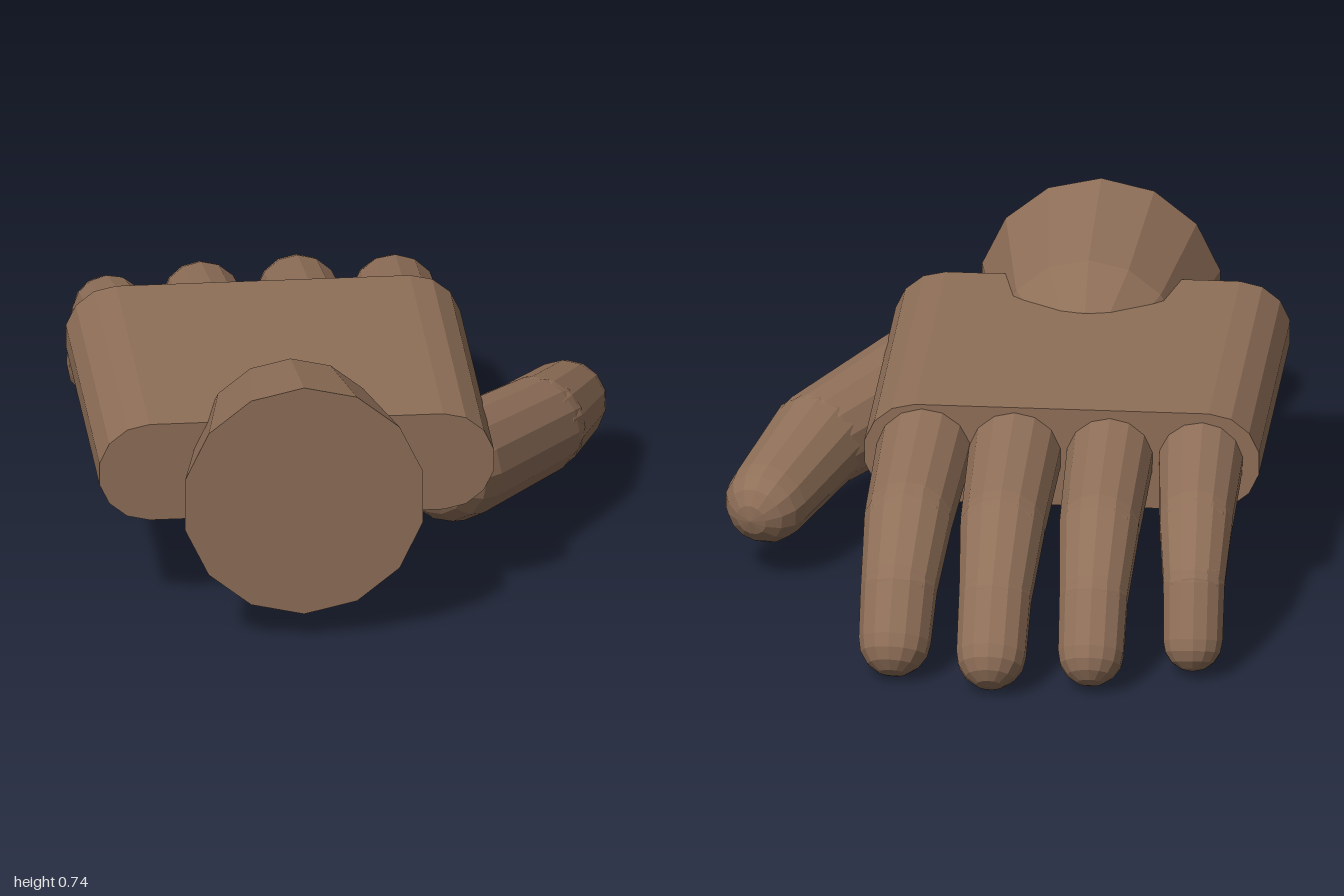
import * as THREE from 'three';

const SIDES = 14;

// Faceted tapered bar with a domed end on each side, from a to b.
function taperedCapsule(a, b, ra, rb, material, name) {
  const length = a.distanceTo(b);
  const steps = 4;
  const profile = [];
  for (let i = 0; i <= steps; i++) {
    const t = (i / steps) * Math.PI / 2;
    profile.push(new THREE.Vector2(ra * Math.sin(t), -ra * Math.cos(t)));
  }
  for (let i = steps; i >= 0; i--) {
    const t = (i / steps) * Math.PI / 2;
    profile.push(new THREE.Vector2(rb * Math.sin(t), length + rb * Math.cos(t)));
  }
  const mesh = new THREE.Mesh(new THREE.LatheGeometry(profile, SIDES), material);
  mesh.name = name;
  mesh.position.copy(a);
  mesh.quaternion.setFromUnitVectors(new THREE.Vector3(0, 1, 0), b.clone().sub(a).normalize());
  return mesh;
}

// Chain of capsules; each joint is [x, y, z, radius].
function digit(name, joints, material) {
  const group = new THREE.Group();
  group.name = name;
  for (let i = 0; i < joints.length - 1; i++) {
    const [p, q] = [joints[i], joints[i + 1]];
    group.add(taperedCapsule(
      new THREE.Vector3(p[0], p[1], p[2]), new THREE.Vector3(q[0], q[1], q[2]),
      p[3], q[3], material, `${name}Segment${i + 1}`));
  }
  return group;
}

export function createModel() {
  const hand = new THREE.Group();
  hand.name = 'hand';
  const skin = new THREE.MeshStandardMaterial({ color: 0x8f6f58, flatShading: true });
  skin.name = 'brown';

  // Palm: slab with rounded long edges
  const r = 0.141;
  const shape = new THREE.Shape();
  for (const [cx, start] of [[0.207, -Math.PI / 2], [-0.597, Math.PI / 2]]) {
    for (let i = 0; i <= SIDES / 2; i++) {
      const a = start + (i / SIDES) * Math.PI * 2;
      const x = cx + r * Math.cos(a), y = 0.414 + r * Math.sin(a);
      if (i === 0 && cx > 0) shape.moveTo(x, y);
      else shape.lineTo(x, y);
    }
  }
  shape.closePath();
  const palm = new THREE.Mesh(
    new THREE.ExtrudeGeometry(shape, { depth: 0.975, bevelEnabled: false }), skin);
  palm.name = 'palm';
  palm.position.z = -0.215;
  hand.add(palm);

  // Wrist: tapered stump with a blunt end sunk into the palm
  const wristProfile = [[0, 0], [0.334, 0], [0.253, 0.4], [0.145, 0.51], [0, 0.56]]
    .map(([x, y]) => new THREE.Vector2(x, y));
  const wrist = new THREE.Mesh(new THREE.LatheGeometry(wristProfile, SIDES), skin);
  wrist.name = 'wrist';
  wrist.rotation.x = -Math.PI / 2;
  wrist.position.set(-0.197, 0.414, 1);
  hand.add(wrist);

  // Fingers, curling down
  const fingers = {
    littleFinger: [[-0.575, 0.414, -0.2, 0.117], [-0.588, 0.355, -0.508, 0.102],
      [-0.597, 0.24, -0.675, 0.086], [-0.6, 0.099, -0.742, 0.083]],
    ringFinger: [[-0.326, 0.414, -0.2, 0.12], [-0.329, 0.35, -0.57, 0.111],
      [-0.331, 0.23, -0.77, 0.095], [-0.332, 0.103, -0.864, 0.091]],
    middleFinger: [[-0.067, 0.414, -0.2, 0.128], [-0.065, 0.35, -0.577, 0.117],
      [-0.064, 0.23, -0.795, 0.1], [-0.063, 0.105, -0.904, 0.096]],
    indexFinger: [[0.182, 0.414, -0.2, 0.131], [0.195, 0.35, -0.545, 0.121],
      [0.204, 0.227, -0.735, 0.105], [0.208, 0.104, -0.821, 0.099]],
  };
  for (const [name, joints] of Object.entries(fingers)) hand.add(digit(name, joints, skin));

  // Thumb
  hand.add(digit('thumb', [[0.25, 0.32, 0.575, 0.152], [0.51, 0.272, 0.2, 0.138],
    [0.619, 0.213, -0.1, 0.116]], skin));

  return hand;
}
